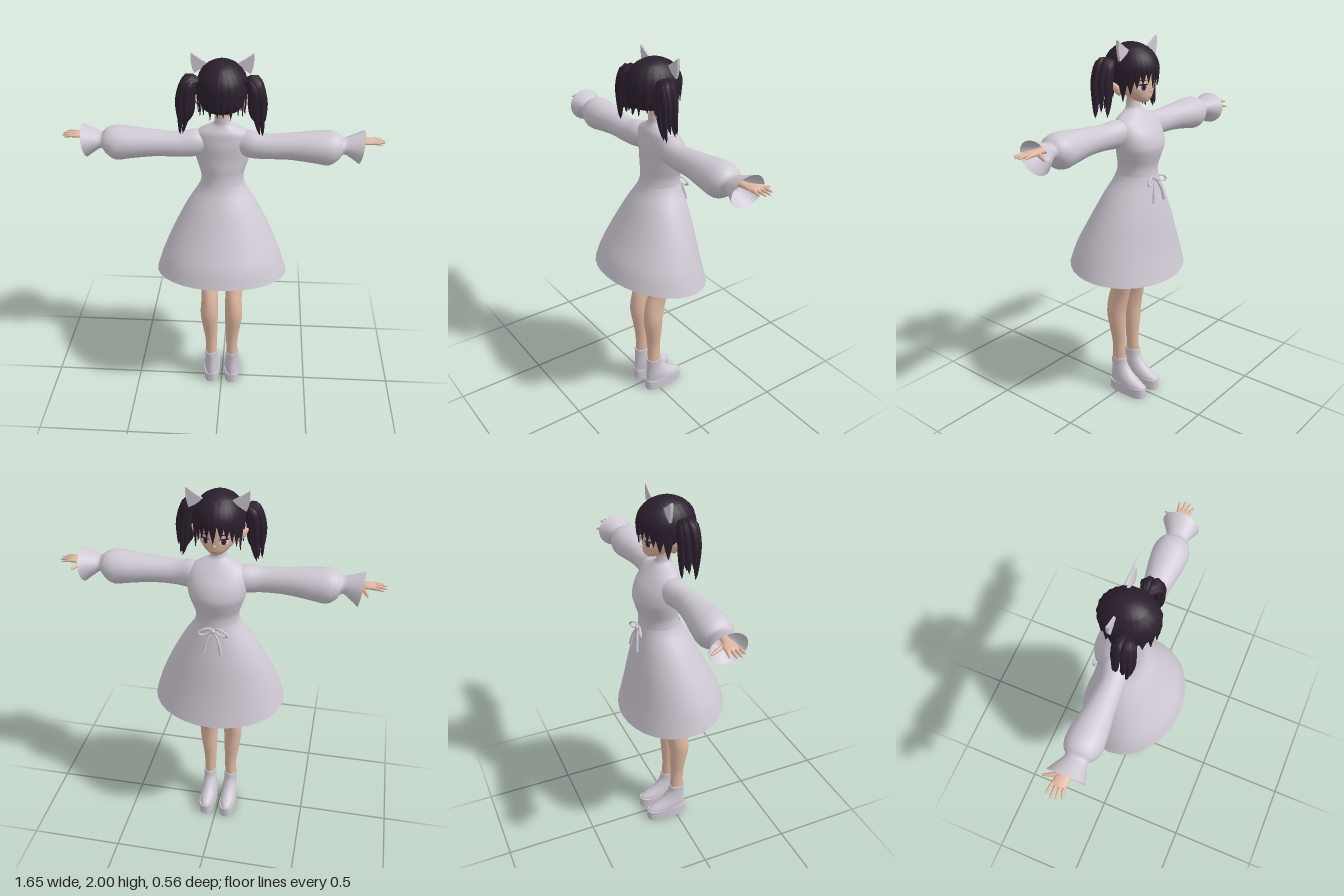
import * as THREE from 'three';

const mat = (name, color, side = THREE.DoubleSide) => {
  const m = new THREE.MeshStandardMaterial({ color, side });
  m.name = name;
  return m;
};

// Smooth curve through rows of numbers, resampled
function resample(rows, steps) {
  const out = [];
  const at = (i) => rows[Math.max(0, Math.min(rows.length - 1, i))];
  for (let i = 0; i < rows.length - 1; i++) {
    for (let s = 0; s < steps; s++) {
      const t = s / steps;
      out.push(rows[i].map((p, k) => {
        const a = at(i - 1)[k], b = at(i + 1)[k], c = at(i + 2)[k];
        return p + 0.5 * t * (b - a + t * (2 * a - 5 * p + 4 * b - c + t * (3 * (p - b) + c - a)));
      }));
    }
  }
  out.push(rows[rows.length - 1]);
  return out;
}

// Grid of points to a smooth surface; wrap joins the last column to the first
function surface(grid, wrap, flip) {
  const n = grid[0].length, cols = wrap ? n : n - 1, idx = [];
  for (let r = 0; r < grid.length - 1; r++) {
    for (let c = 0; c < cols; c++) {
      const a = r * n + c, b = r * n + (c + 1) % n, d = a + n, e = b + n;
      if (flip) idx.push(a, d, b, b, d, e);
      else idx.push(a, b, d, b, e, d);
    }
  }
  const g = new THREE.BufferGeometry();
  g.setAttribute('position', new THREE.Float32BufferAttribute(grid.flat(2), 3));
  g.setIndex(idx);
  g.computeVertexNormals();
  return g;
}

// Elliptical sections along an axis. y: [y, x, z, rx, rz]   x: [x, y, z, ry, rz]
function loft(axis, rows, rule = (p) => p, sides = 24) {
  const grid = resample(rows, 4).map(([t, a, b, ra, rb]) => {
    const ring = [];
    for (let i = 0; i < sides; i++) {
      const w = (i / sides) * Math.PI * 2;
      const u = a + ra * Math.cos(w), v = b + rb * Math.sin(w);
      ring.push(rule(axis === 'y' ? [u, t, v] : [t, u, v]));
    }
    return ring;
  });
  return surface(grid, true, axis === 'y');
}

// Tube along a curve whose radius follows a function of 0..1
function taper(points, radius, seg = 14, sides = 7) {
  const curve = new THREE.CatmullRomCurve3(points.map((p) => new THREE.Vector3(...p)));
  const g = new THREE.TubeGeometry(curve, seg, 1, sides, false);
  const pos = g.attributes.position, v = new THREE.Vector3();
  for (let i = 0; i < pos.count; i++) {
    const t = Math.floor(i / (sides + 1)) / seg, c = curve.getPointAt(t);
    v.fromBufferAttribute(pos, i).sub(c).multiplyScalar(radius(t)).add(c);
    pos.setXYZ(i, v.x, v.y, v.z);
  }
  g.computeVertexNormals();
  return g;
}

function mirrored(geo) {
  const g = geo.clone().scale(-1, 1, 1);
  const src = g.index ? Array.from(g.index.array) : [...Array(g.attributes.position.count).keys()];
  for (let i = 0; i < src.length; i += 3) [src[i], src[i + 1]] = [src[i + 1], src[i]];
  g.setIndex(src);
  return g;
}

const headRows = [
  [1.686, 0, -0.1, 0.001, 0.001], [1.692, 0, -0.095, 0.024, 0.026], [1.71, 0, -0.08, 0.052, 0.055],
  [1.74, 0, -0.053, 0.083, 0.087], [1.78, 0, -0.035, 0.1, 0.107], [1.84, 0, -0.03, 0.107, 0.11],
  [1.9, 0, -0.025, 0.09, 0.09], [1.94, 0, -0.02, 0.001, 0.001],
];

// Front surface of the face at x, y
function faceZ(x, y) {
  const s = resample(headRows, 8);
  let i = 1;
  while (i < s.length - 1 && s[i][0] < y) i++;
  const f = (y - s[i - 1][0]) / (s[i][0] - s[i - 1][0]);
  const [, , z, rx, rz] = s[i].map((b, k) => s[i - 1][k] + f * (b - s[i - 1][k]));
  return z - rz * Math.sqrt(Math.max(0, 1 - (x / rx) ** 2));
}

// Oval painted detail that follows the face
function facePlate(x, y, rx, ry, lift) {
  const g = new THREE.CircleGeometry(1, 20).scale(rx, ry, 1).translate(x, y, 0);
  const p = g.attributes.position;
  for (let i = 0; i < p.count; i++) p.setZ(i, faceZ(p.getX(i), p.getY(i)) - lift);
  g.computeVertexNormals();
  return g;
}

// Hair cap: short over the face, long at the nape
function hairCap() {
  const g = new THREE.SphereGeometry(1, 64, 24);
  const p = g.attributes.position, uv = g.attributes.uv;
  for (let i = 0; i < p.count; i++) {
    const phi = uv.getX(i) * Math.PI * 2, front = -Math.sin(phi);
    const max = 2.6 - 1.0 * THREE.MathUtils.smoothstep(front, 0.1, 0.8);
    const th = (1 - uv.getY(i)) * max;
    const s = Math.sin(th), r = (th > Math.PI / 2 ? Math.sqrt(s) : s) * (1 + 0.012 * Math.sin(phi * 16) * s);
    p.setXYZ(i, -Math.cos(phi) * r * 0.122, 1.85 + 0.13 * Math.cos(th), -0.02 + Math.sin(phi) * r * 0.143);
  }
  g.computeVertexNormals();
  return g;
}

// Pointed lock lying over the cap, angle 0 at the face
function hairLock(angle, width, tip) {
  const grid = [];
  for (let i = 0; i <= 10; i++) {
    const t = i / 10, y = 1.955 + (tip - 1.955) * t;
    const s = y > 1.85 ? Math.sqrt(1 - ((y - 1.85) / 0.13) ** 2) : 1 - 0.6 * (1.85 - y);
    grid.push([-1, 0, 1].map((k) => {
      const a = angle + k * width * (1 - t ** 2.5), r = s * (k ? 1.01 : 1.05);
      return [Math.sin(a) * 0.122 * r, y, -0.02 - Math.cos(a) * 0.143 * r];
    }));
  }
  return surface(grid, false, false);
}

export function createModel() {
  const model = new THREE.Group();
  const cloth = mat('pale lilac cloth', 0xcfc9d3), skin = mat('skin', 0xe0b8a2);
  const hair = mat('dark plum hair', 0x2b1f2d), white = mat('eye white', 0xe9e4e6);
  const iris = mat('iris purple', 0x4b3158), lips = mat('lip', 0xb4776c);
  const add = (name, geo, m) => {
    const mesh = new THREE.Mesh(geo, m);
    mesh.name = name;
    model.add(mesh);
  };
  const pair = (name, geo, m) => {
    add(name + 'Left', geo, m);
    add(name + 'Right', mirrored(geo), m);
  };

  // Dress
  add('skirt', loft('y', [
    [0.8, 0, 0, 0.356, 0.28], [0.9, 0, -0.002, 0.325, 0.252], [1.0, 0, -0.015, 0.285, 0.218],
    [1.1, 0, -0.03, 0.238, 0.185], [1.2, 0, -0.043, 0.183, 0.15], [1.28, 0, -0.056, 0.13, 0.119],
    [1.32, 0, -0.06, 0.112, 0.108],
  ], ([x, y, z]) => [x, y + 0.135 * z * (1.32 - y) / 0.52, z], 32), cloth);
  add('bodice', loft('y', [
    [1.3, 0, -0.06, 0.114, 0.11], [1.36, 0, -0.065, 0.112, 0.102], [1.42, 0, -0.074, 0.13, 0.11],
    [1.47, 0, -0.08, 0.145, 0.113], [1.53, 0, -0.07, 0.152, 0.105], [1.58, 0, -0.055, 0.145, 0.085],
    [1.61, 0, -0.045, 0.12, 0.07], [1.635, 0, -0.04, 0.075, 0.052], [1.655, 0, -0.035, 0.042, 0.04],
    [1.69, 0, -0.032, 0.037, 0.036],
  ], undefined, 32), cloth);
  pair('sleeve', loft('x', [
    [0.08, 1.545, -0.05, 0.055, 0.06], [0.14, 1.54, -0.035, 0.071, 0.068], [0.22, 1.535, -0.02, 0.065, 0.062],
    [0.34, 1.539, -0.02, 0.068, 0.07], [0.46, 1.538, -0.022, 0.08, 0.088], [0.54, 1.535, -0.023, 0.088, 0.092],
    [0.585, 1.542, -0.023, 0.068, 0.076], [0.612, 1.548, -0.023, 0.04, 0.056], [0.65, 1.544, -0.028, 0.055, 0.07],
    [0.703, 1.538, -0.035, 0.083, 0.096],
  ], ([x, y, z]) => [x + (x > 0.62 ? (y - 1.54) * (x - 0.62) * 1.8 : 0), y, z]), cloth);

  // Waist bow
  pair('bowLoop', new THREE.TorusGeometry(0.026, 0.006, 8, 20).scale(1.3, 0.6, 1)
    .rotateZ(-0.3).rotateY(0.25).translate(0.042, 1.298, -0.184), cloth);
  pair('bowTail', taper([[0.005, 1.3, -0.18], [0.03, 1.25, -0.196], [0.045, 1.185, -0.206]],
    (t) => 0.005 + 0.004 * t), cloth);
  add('bowKnot', new THREE.SphereGeometry(0.013, 12, 8).translate(0, 1.302, -0.182), cloth);

  // Legs and platform shoes
  pair('leg', loft('y', [
    [0.16, 0.062, 0.015, 0.031, 0.04], [0.3, 0.061, 0.018, 0.034, 0.038], [0.4, 0.066, 0.022, 0.043, 0.047],
    [0.5, 0.07, 0.027, 0.05, 0.056], [0.6, 0.068, 0.011, 0.047, 0.06], [0.7, 0.07, -0.02, 0.052, 0.055],
    [0.8, 0.076, -0.028, 0.064, 0.067], [0.95, 0.08, -0.03, 0.072, 0.076], [1.18, 0.07, -0.045, 0.066, 0.08],
  ]), skin);
  pair('shoeUpper', loft('y', [
    [0.05, 0.061, -0.05, 0.045, 0.12], [0.07, 0.061, -0.045, 0.045, 0.113], [0.1, 0.061, -0.02, 0.043, 0.085],
    [0.13, 0.061, -0.002, 0.039, 0.064], [0.17, 0.062, 0.012, 0.036, 0.049], [0.21, 0.063, 0.016, 0.037, 0.046],
    [0.208, 0.063, 0.016, 0.03, 0.038],
  ]), cloth);
  const sole = new THREE.Shape();
  for (let i = 0; i < 28; i++) {
    const w = (i / 28) * Math.PI * 2, c = Math.cos(w), s = Math.sin(w);
    const x = 0.061 + 0.046 * Math.sign(c) * Math.abs(c) ** 0.75, z = 0.05 + 0.12 * Math.sign(s) * Math.abs(s) ** 0.75;
    if (i) sole.lineTo(x, z); else sole.moveTo(x, z);
  }
  pair('shoeSole', new THREE.ExtrudeGeometry(sole, { depth: 0.058, bevelEnabled: false }).rotateX(-Math.PI / 2), cloth);

  // Hands
  pair('palm', loft('x', [
    [0.62, 1.56, -0.028, 0.015, 0.02], [0.68, 1.563, -0.033, 0.014, 0.023], [0.72, 1.566, -0.041, 0.013, 0.034],
    [0.755, 1.567, -0.043, 0.011, 0.036], [0.772, 1.566, -0.043, 0.002, 0.026],
  ], undefined, 14), skin);
  [[-0.07, 0.808, -0.084], [-0.052, 0.825, -0.057], [-0.034, 0.823, -0.032], [-0.017, 0.806, -0.008]].forEach(([z, tx, tz], i) =>
    pair('finger' + (i + 1), taper([[0.745, 1.567, z], [(0.745 + tx) / 2, 1.568, (z + tz) / 2], [tx, 1.563, tz]],
      (t) => 0.0085 * Math.sqrt(1 - t ** 4) * (1 - 0.25 * t)), skin));
  pair('thumb', taper([[0.695, 1.56, -0.05], [0.72, 1.556, -0.095], [0.738, 1.55, -0.138]],
    (t) => 0.012 * Math.sqrt(1 - t ** 4) * (1 - 0.3 * t)), skin);

  // Head and face
  add('head', loft('y', headRows, undefined, 32), skin);
  add('neck', new THREE.CylinderGeometry(0.033, 0.033, 0.11, 20).translate(0, 1.71, -0.03), skin);
  add('nose', new THREE.ConeGeometry(0.009, 0.02, 10).rotateX(-Math.PI / 2).translate(0, 1.747, -0.146), skin);
  pair('ear', taper([[0.085, 1.745, -0.02], [0.112, 1.765, -0.015], [0.14, 1.795, -0.005]],
    (t) => 0.026 * Math.sqrt(1 - t)), skin);
  pair('eyeWhite', facePlate(0.046, 1.77, 0.021, 0.015, 0.003), white);
  pair('iris', facePlate(0.044, 1.77, 0.012, 0.015, 0.0045), iris);
  pair('pupil', facePlate(0.044, 1.77, 0.006, 0.009, 0.0055), hair);
  pair('lash', facePlate(0.047, 1.784, 0.024, 0.0045, 0.006), hair);
  pair('brow', facePlate(0.046, 1.806, 0.02, 0.0025, 0.004), hair);
  add('mouth', facePlate(0, 1.717, 0.013, 0.0025, 0.003), lips);

  // Hair cap, fringe and side locks
  add('hairCap', hairCap(), hair);
  add('fringeCentre', hairLock(0.03, 0.19, 1.765), hair);
  [[0.28, 0.2, 1.792], [0.52, 0.2, 1.785], [0.76, 0.22, 1.765], [1.0, 0.24, 1.735], [1.3, 0.26, 1.7], [1.75, 0.2, 1.72]]
    .forEach(([a, w, tip], i) => pair('fringeLock' + (i + 1), hairLock(a, w, tip), hair));
  [0.12, 0.45, 0.8, 1.1].forEach((a, i) =>
    pair('napeLock' + (i + 1), hairLock(Math.PI - a, 0.2, 1.735 - 0.015 * (i % 2)), hair));

  // Twin tails made of tapered strands
  for (let i = 0; i < 9; i++) {
    const w = i * 2.4, r = i === 0 ? 0 : 0.032, dx = r * Math.cos(w), dz = r * 1.3 * Math.sin(w);
    const drop = 1.615 + 0.035 * (1 + Math.sin(i * 1.7));
    pair('tailStrand' + (i + 1), taper([
      [0.105, 1.885, 0.015 + dz * 0.3], [0.148 + dx * 0.5, 1.89 + dx * 0.3, 0.02 + dz * 0.8],
      [0.175 + dx, 1.81, 0.024 + dz], [0.18 + dx, 1.72, 0.022 + dz], [0.194 + dx * 0.5, drop, 0.015 + dz * 0.9],
    ], (t) => 0.0215 * Math.min(1, 0.45 + 2.5 * t) * Math.sqrt(1 - t ** 1.6)), hair);
  }

  // Pointed hair ornaments
  const tip = new THREE.Shape();
  tip.moveTo(0.065, 1.945);
  tip.quadraticCurveTo(0.105, 1.965, 0.152, 2.0);
  tip.quadraticCurveTo(0.158, 1.95, 0.138, 1.9);
  tip.lineTo(0.065, 1.945);
  pair('pointedEar', new THREE.ExtrudeGeometry(tip, { depth: 0.014, bevelEnabled: false }).translate(0, 0, -0.064), cloth);

  return model;
}
